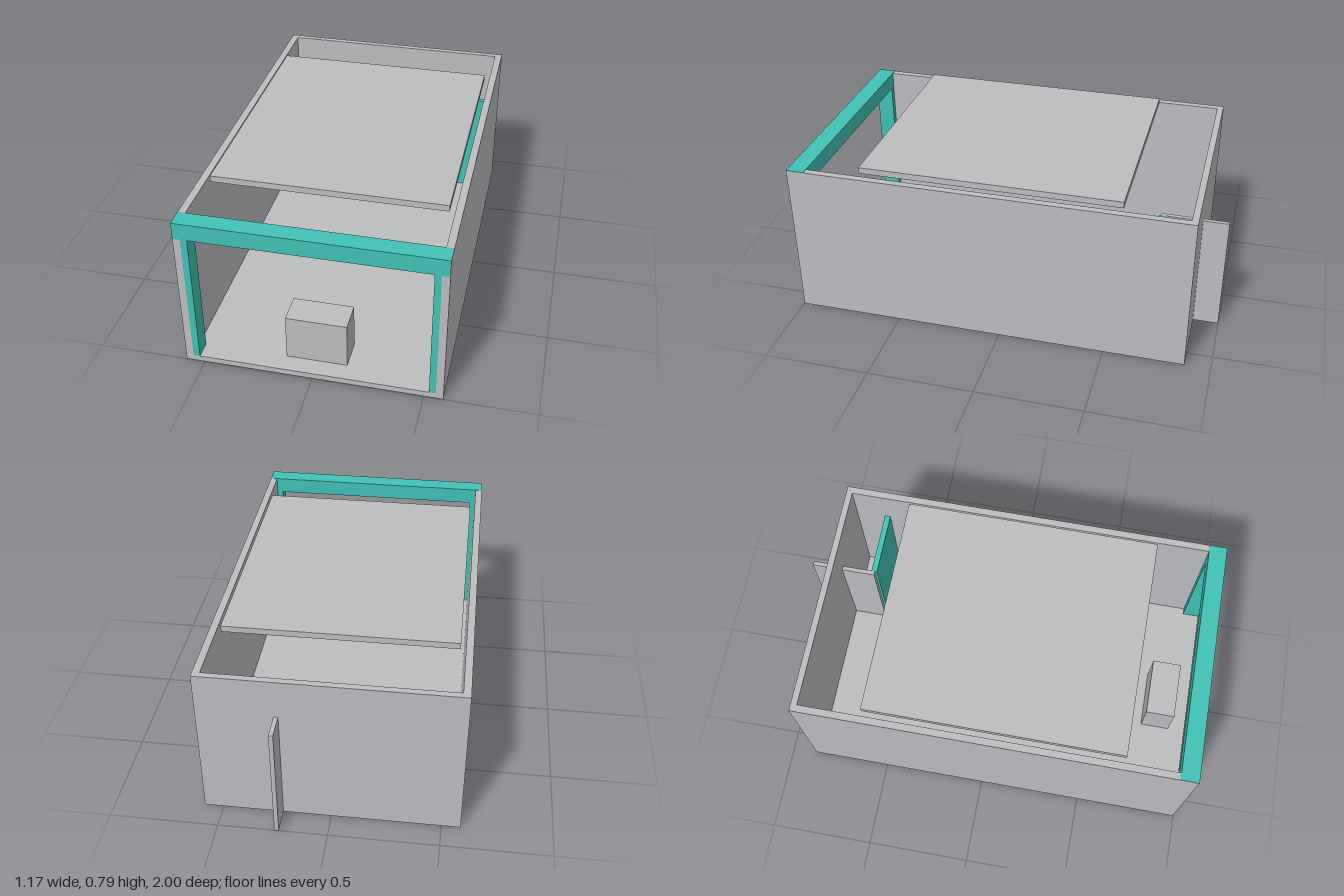
import * as THREE from 'three';

export function createModel() {
  const model = new THREE.Group();
  const grey = new THREE.MeshStandardMaterial({ color: 0xbcbdc0 });
  grey.name = 'concrete grey';
  const teal = new THREE.MeshStandardMaterial({ color: 0x41c2b4 });
  teal.name = 'teal';

  // Box given by its lower and upper limits on each axis
  const slab = (name, material, [x0, x1], [y0, y1], [z0, z1]) => {
    const mesh = new THREE.Mesh(new THREE.BoxGeometry(x1 - x0, y1 - y0, z1 - z0), material);
    mesh.position.set((x0 + x1) / 2, (y0 + y1) / 2, (z0 + z1) / 2);
    mesh.name = name;
    model.add(mesh);
  };

  const W = 0.587, IN = 0.553, H = 0.753, FLOOR = 0.028;
  const BACK = -0.88, FRONT = 0.998;

  // Open-topped shell
  slab('floor', grey, [-W, W], [0, FLOOR], [BACK, FRONT]);
  slab('backWall', grey, [-IN, IN], [FLOOR, H], [BACK, BACK + 0.03]);
  for (const [side, s] of [['left', 1], ['right', -1]]) {
    const span = (a, b) => (s > 0 ? [a, b] : [-b, -a]);
    slab(side + 'Wall', grey, span(IN, W), [FLOOR, H], [BACK, FRONT]);
    slab(side + 'FrontPost', teal, span(0.523, IN), [FLOOR, 0.675], [0.915, FRONT]);
  }

  // Lintel over the open front, a hair proud of the walls
  slab('frontBeam', teal, [-W + 0.001, W - 0.001], [0.675, 0.755], [0.915, 1]);

  // Raised roof panel
  slab('roofPanel', grey, [-0.53, 0.53], [0.755, 0.785], [-0.555, 0.665]);

  // Block inside the entrance
  slab('counter', grey, [-0.14, 0.14], [FLOOR, 0.25], [0.77, 0.912]);

  // Rear corner partitions; the fin passes out through the back wall
  slab('partition', teal, [0.24, IN], [FLOOR, 0.565], [-0.705, -0.677]);
  slab('partitionFin', grey, [0.221, 0.241], [0, 0.565], [-1, -0.688]);

  return model;
}
